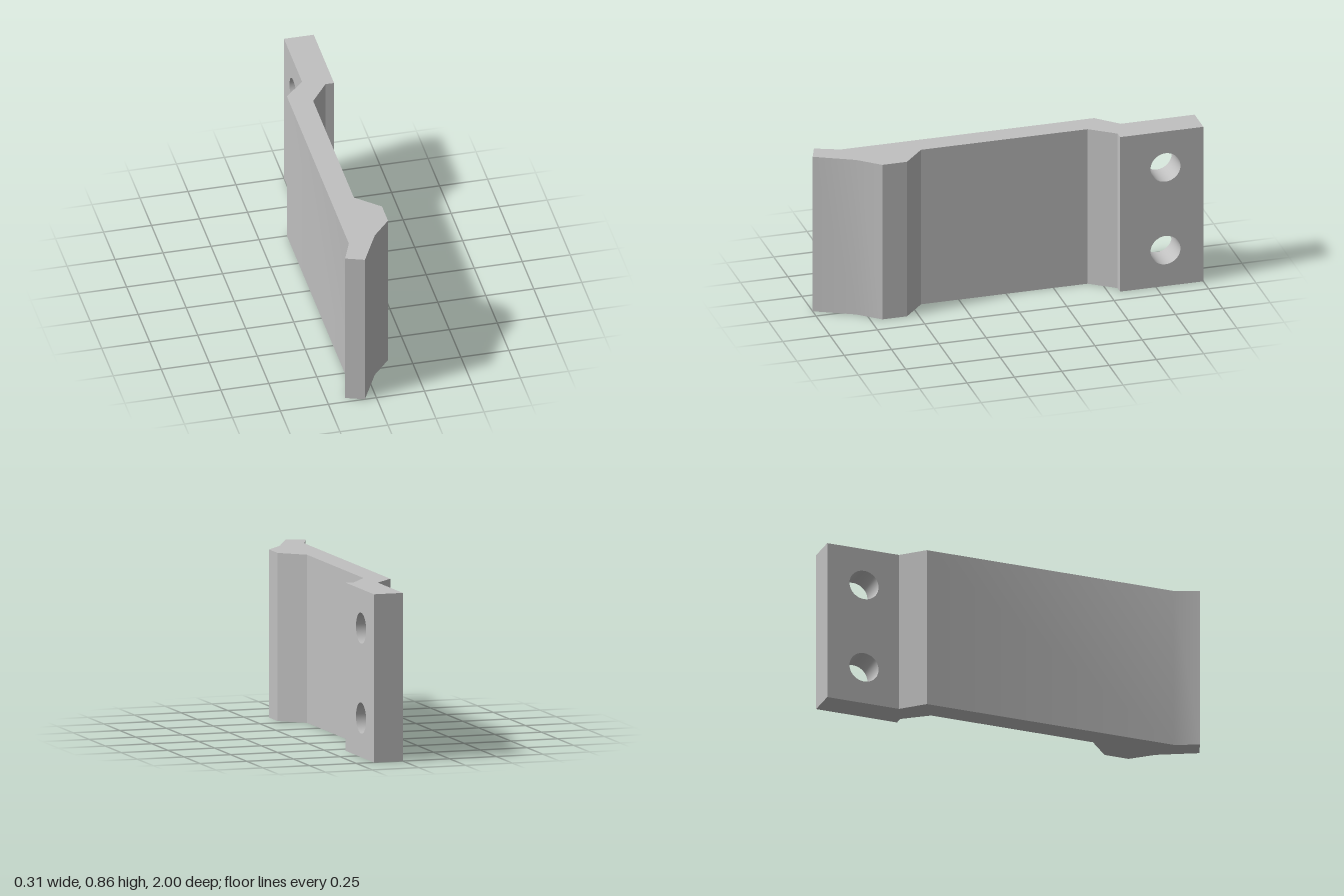
import * as THREE from 'three';
import { toCreasedNormals } from 'three/addons/utils/BufferGeometryUtils.js';

const HEIGHT = 0.86;
const SEAM = -0.61; // z where the mounting flange joins the plate

// Drop the hidden triangles lying on the seam plane, then smooth shallow bends only
function finish(geometry) {
  const p = geometry.attributes.position;
  const kept = [];
  for (let i = 0; i < p.count; i += 3) {
    const onSeam = [0, 1, 2].every(k => Math.abs(p.getZ(i + k) - SEAM) < 1e-4);
    if (onSeam) continue;
    for (let k = 0; k < 3; k++) kept.push(p.getX(i + k), p.getY(i + k), p.getZ(i + k));
  }
  const open = new THREE.BufferGeometry();
  open.setAttribute('position', new THREE.Float32BufferAttribute(kept, 3));
  return toCreasedNormals(open, THREE.MathUtils.degToRad(30));
}

export function createModel() {
  const group = new THREE.Group();
  group.name = 'bracket';
  const grey = new THREE.MeshStandardMaterial({ color: 0xc0c0c0 });
  grey.name = 'light grey';

  // Bent plate with a hooked lip: profile in [x, z], extruded upward
  const profile = [
    [0, SEAM], [0.155, SEAM], [0.155, -0.56], [0.11, -0.56], [0.015, -0.43],
    [0.015, 0.45], [0.135, 0.56], [0.135, 0.69], [0.04, 0.8], [-0.06, 1],
    [-0.155, 0.965], [-0.105, 0.84], [-0.105, -0.5],
  ];
  const plateShape = new THREE.Shape(profile.map(([x, z]) => new THREE.Vector2(x, -z)));
  const plateGeometry = new THREE.ExtrudeGeometry(plateShape, { depth: HEIGHT, bevelEnabled: false });
  plateGeometry.rotateX(-Math.PI / 2);
  const plate = new THREE.Mesh(finish(plateGeometry), grey);
  plate.name = 'bentPlate';

  // Mounting flange: drawn in [-z, y] with two bolt holes, extruded along x
  const flangeShape = new THREE.Shape([
    new THREE.Vector2(-SEAM, 0), new THREE.Vector2(1, 0),
    new THREE.Vector2(1, HEIGHT), new THREE.Vector2(-SEAM, HEIGHT),
  ]);
  for (const y of [0.2, 0.66]) {
    flangeShape.holes.push(new THREE.Path().absarc(0.8, y, 0.079, 0, Math.PI * 2, true));
  }
  const flangeGeometry = new THREE.ExtrudeGeometry(flangeShape, {
    depth: 0.155, bevelEnabled: false, curveSegments: 24,
  });
  flangeGeometry.rotateY(Math.PI / 2);
  const flange = new THREE.Mesh(finish(flangeGeometry), grey);
  flange.name = 'mountingFlange';

  group.add(plate, flange);
  return group;
}
